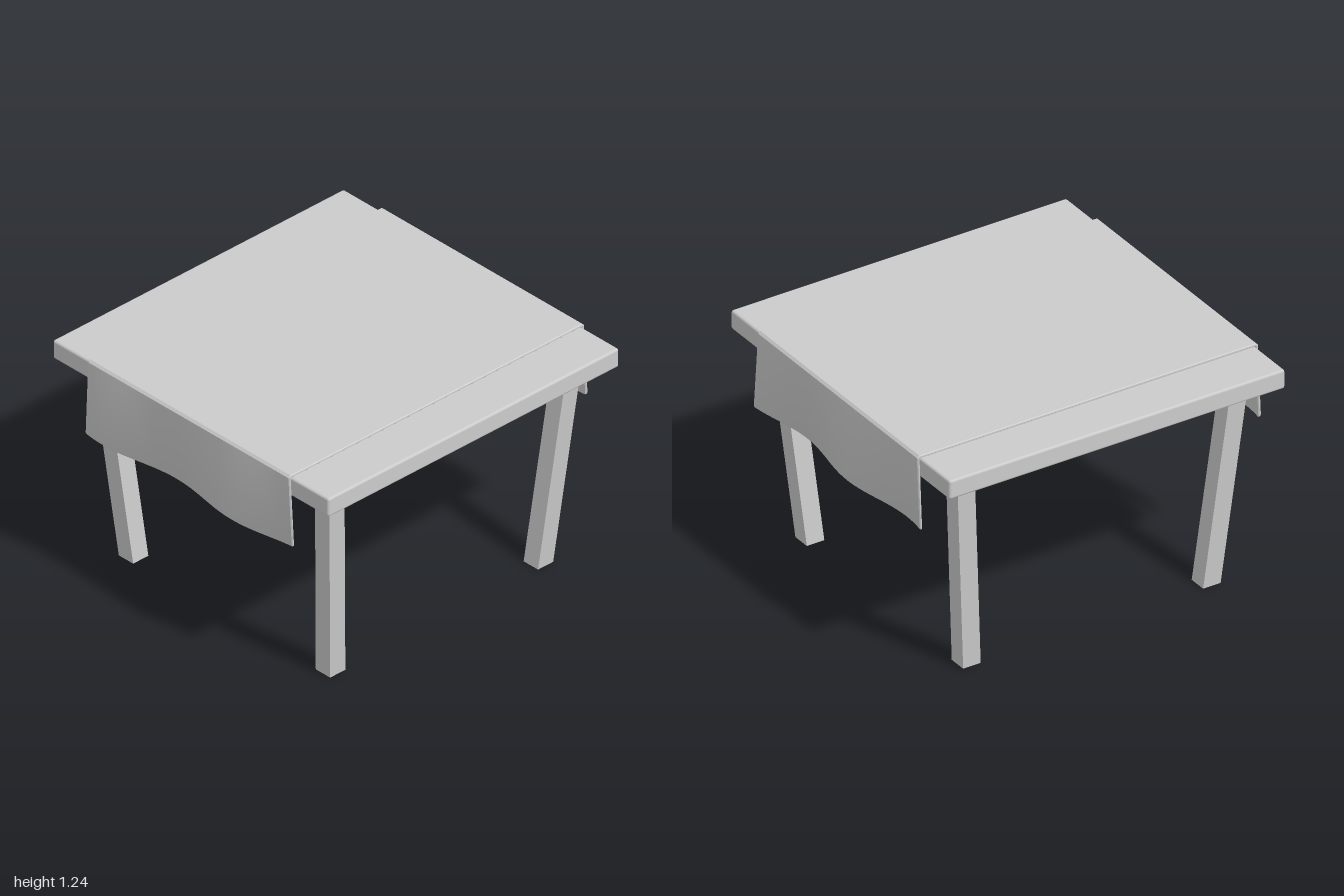
import * as THREE from 'three';
import { toCreasedNormals } from 'three/addons/utils/BufferGeometryUtils.js';
import { RoundedBoxGeometry } from 'three/addons/geometries/RoundedBoxGeometry.js';

const material = new THREE.MeshStandardMaterial({ color: 0xcccccc });

function part(name, geometry) {
  const mesh = new THREE.Mesh(geometry, material);
  mesh.name = name;
  return mesh;
}

// Square leg leaning outwards, cut level at the floor
function legGeometry(sx, sz) {
  const height = 1.13, bottom = 0.684, top = 0.78;
  const g = new THREE.BoxGeometry(0.1, height, 0.1).translate(0, height / 2, 0);
  const p = g.attributes.position;
  for (let i = 0; i < p.count; i++) {
    const offset = THREE.MathUtils.lerp(bottom, top, p.getY(i) / height);
    p.setX(i, p.getX(i) + sx * offset);
    p.setZ(i, p.getZ(i) + sz * offset);
  }
  g.computeVertexNormals();
  return g;
}

// Runner: a thin upside-down U swept along z, its hanging ends waving in and out
function runnerGeometry() {
  const outer = 0.972, inner = 0.957, top = 1.24, under = 1.223, hem = 0.825;
  const halfDepth = 0.7, c = 0.012, bevel = 0.005;
  const half = [
    [inner, under], [inner, hem], [outer - 0.005, hem], [outer, hem + c],
    [outer, top - c], [outer - c, top],
  ];
  const mirrored = half.map(([x, y]) => [-x, y]).reverse();
  const shape = new THREE.Shape([...half, ...mirrored].map(([x, y]) => new THREE.Vector2(x, y)));
  const depth = 2 * (halfDepth - bevel);
  let g = new THREE.ExtrudeGeometry(shape, {
    depth, steps: 48, bevelEnabled: true, bevelThickness: bevel,
    bevelSize: bevel, bevelOffset: -bevel, bevelSegments: 1,
  }).translate(0, 0, -depth / 2);

  const p = g.attributes.position;
  for (let i = 0; i < p.count; i++) {
    const x = p.getX(i), z = p.getZ(i);
    const hang = Math.max(0, (top - c - p.getY(i)) / (top - c - hem));
    if (Math.abs(x) < 0.9) continue;
    const wave = x > 0
      ? Math.cos((z + 0.12) / 0.87 * Math.PI * 2)
      : Math.cos((z - 0.33) / 0.9 * Math.PI * 2);
    p.setX(i, x + Math.sign(x) * 0.027 * wave * hang);
  }
  g = toCreasedNormals(g, 0.5);
  return g;
}

export function createModel() {
  const table = new THREE.Group();
  table.name = 'table';

  // Table top with softened edges
  const slab = part('tableTop', new RoundedBoxGeometry(1.914, 0.105, 1.916, 2, 0.013));
  slab.position.y = 1.1725;
  table.add(slab);

  // Four splayed legs
  for (const sx of [-1, 1]) {
    for (const sz of [-1, 1]) {
      const name = (sz > 0 ? 'front' : 'back') + (sx > 0 ? 'Left' : 'Right') + 'Leg';
      table.add(part(name, legGeometry(sx, sz)));
    }
  }

  // Cloth over the top
  table.add(part('tableRunner', runnerGeometry()));

  table.position.x = -0.003;
  const model = new THREE.Group();
  model.name = 'tableWithRunner';
  model.add(table);
  return model;
}
